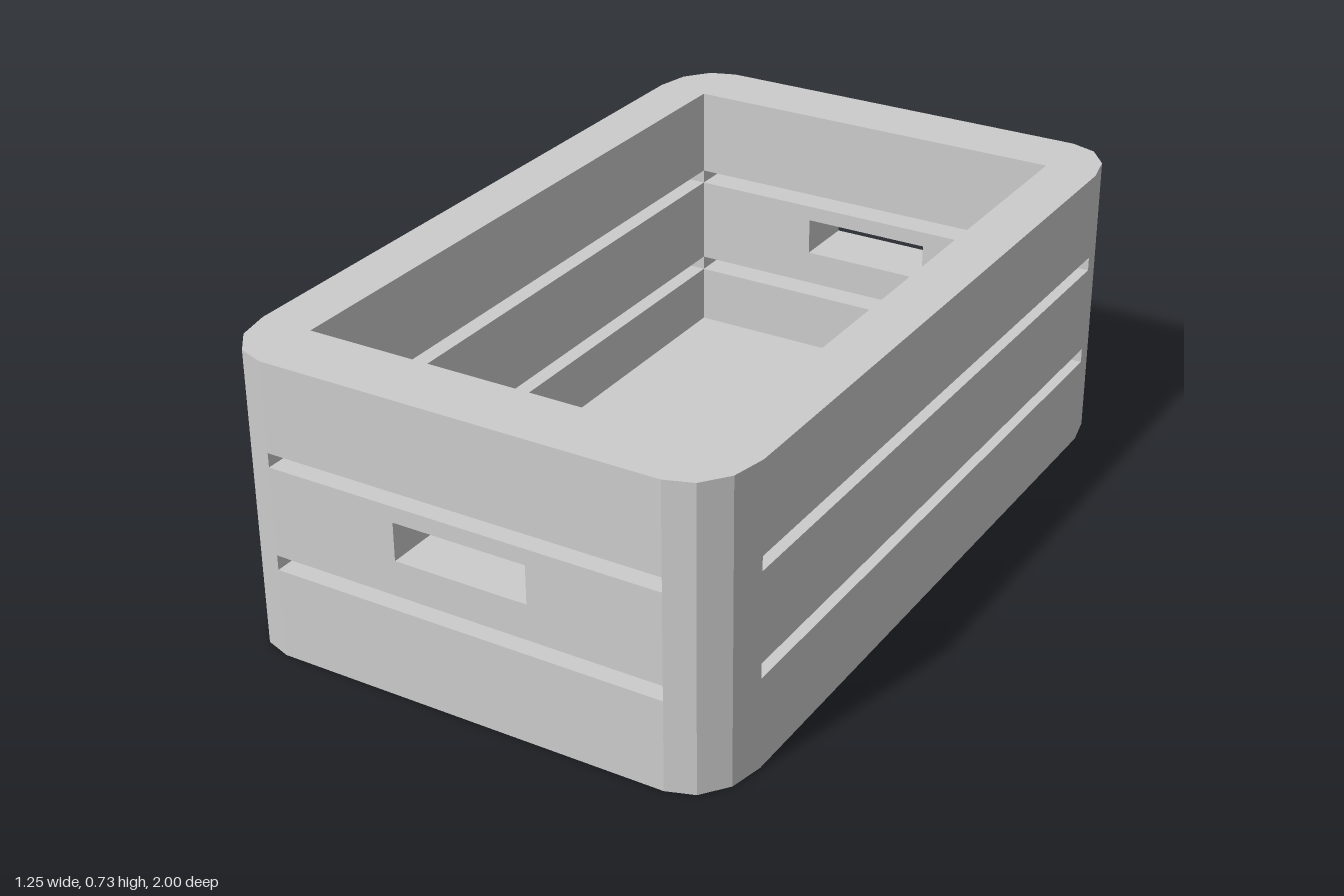
import * as THREE from 'three';

const OX = 0.624, OZ = 1;        // outer half sizes
const IX = 0.493, IZ = 0.83;     // inner half sizes
const H = 0.734, FLOOR = 0.073;
const SLATS = [[0, 0.222], [0.259, 0.479], [0.514, H]]; // y ranges between the slots

export function createModel() {
  const group = new THREE.Group();
  const material = new THREE.MeshStandardMaterial({ color: 0xcccccc, flatShading: true });

  const add = (name, geometry, x = 0, y = 0, z = 0) => {
    const mesh = new THREE.Mesh(geometry, material);
    mesh.name = name;
    mesh.position.set(x, y, z);
    group.add(mesh);
    return mesh;
  };

  // Floor between the walls
  add('floor', new THREE.BoxGeometry(2 * IX, FLOOR, 2 * IZ), 0, FLOOR / 2, 0);

  // Corner posts: quarter ellipses in three facets
  for (const sx of [-1, 1]) {
    for (const sz of [-1, 1]) {
      const points = [new THREE.Vector2(sx * IX, sz * IZ)];
      for (let i = 0; i <= 3; i++) {
        const a = (i / 3) * Math.PI / 2;
        points.push(new THREE.Vector2(
          sx * (IX + (OX - IX) * Math.cos(a)), sz * (IZ + (OZ - IZ) * Math.sin(a))));
      }
      const post = new THREE.ExtrudeGeometry(new THREE.Shape(points), { depth: H, bevelEnabled: false });
      add('cornerPost', post.rotateX(-Math.PI / 2));
    }
  }

  // End slat with the hand hole
  const handleSlat = ([y0, y1]) => {
    const rect = (P, x, a, b) => new P([[-x, a], [x, a], [x, b], [-x, b]].map(p => new THREE.Vector2(...p)));
    const shape = rect(THREE.Shape, IX, y0, y1);
    shape.holes.push(rect(THREE.Path, 0.167, 0.346, 0.44));
    return new THREE.ExtrudeGeometry(shape, { depth: OZ - IZ, bevelEnabled: false });
  };

  // Three slats on each wall
  SLATS.forEach(([y0, y1], i) => {
    const h = y1 - y0, y = (y0 + y1) / 2;
    for (const s of [-1, 1]) {
      add('sideSlat', new THREE.BoxGeometry(OX - IX, h, 2 * IZ), s * (OX + IX) / 2, y, 0);
      if (i === 1) add('handleSlat', handleSlat(SLATS[i]), 0, 0, s > 0 ? IZ : -OZ);
      else add('endSlat', new THREE.BoxGeometry(2 * IX, h, OZ - IZ), 0, y, s * (OZ + IZ) / 2);
    }
  });

  return group;
}
